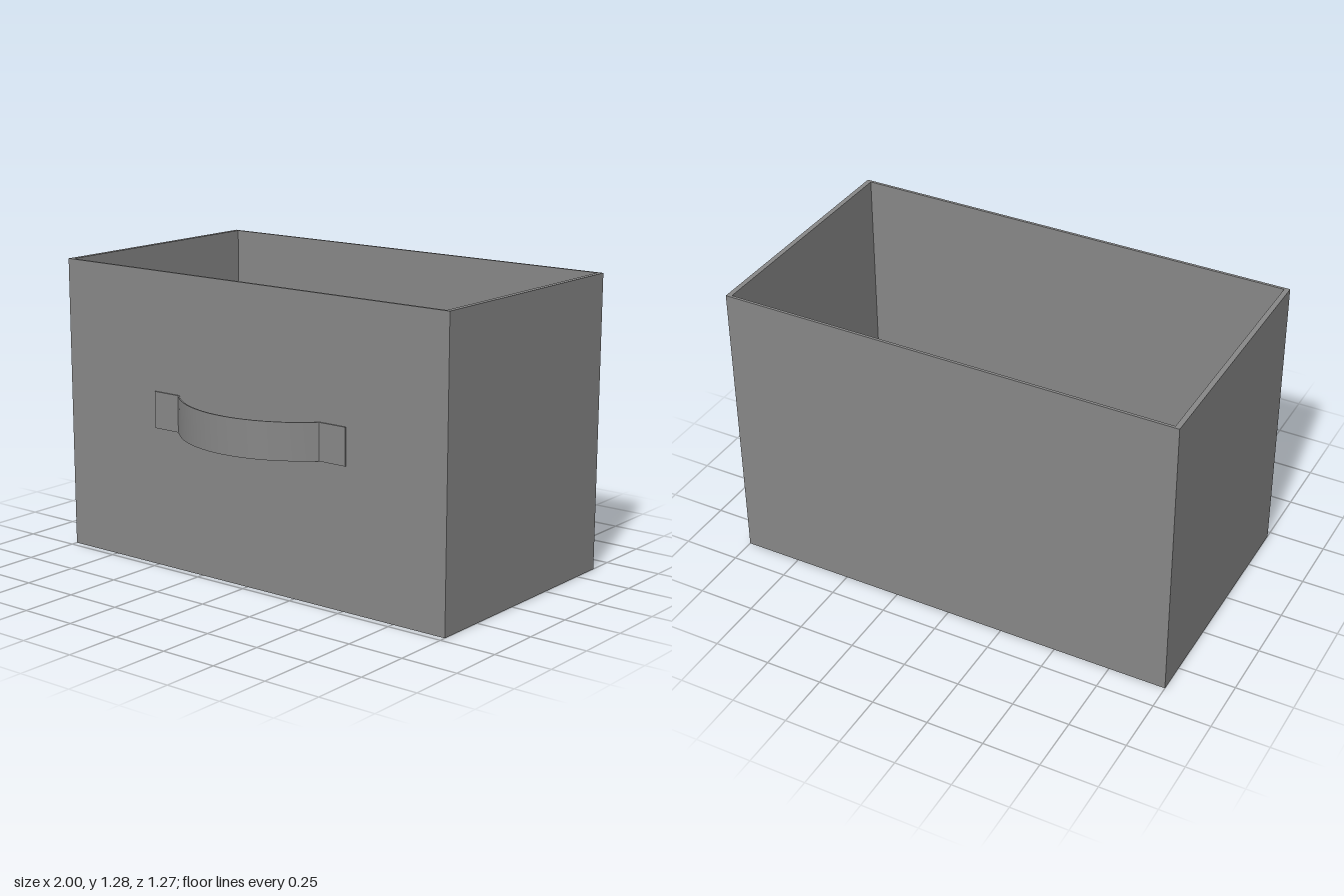
import * as THREE from 'three';
import { toCreasedNormals } from 'three/addons/utils/BufferGeometryUtils.js';

const FRONT = 0.47, BACK = -0.635, HEIGHT = 1.28;
const WALL_X = 0.022, WALL_Z = 0.012, FLOOR = 0.02;

const rect = (x0, z0, x1, z1) =>
  [[x0, z0], [x1, z0], [x1, z1], [x0, z1]].map(([x, z]) => new THREE.Vector2(x, z));

// Extrudes an (x, z) outline vertically between two heights
function extrudeUp(shape, y0, y1) {
  const geometry = new THREE.ExtrudeGeometry(shape, { depth: y1 - y0, bevelEnabled: false });
  return geometry.rotateX(Math.PI / 2).translate(0, y1, 0);
}

// Thin strap outline: flat pad, circular bow, flat pad
function strapShape() {
  const cx = 0.0075, halfBow = 0.3725, halfLength = 0.5075, thick = 0.006, rise = 0.159;
  const radius = (halfBow ** 2 + rise ** 2) / (2 * rise);
  const sweep = Math.asin(halfBow / radius);
  const side = (offset) => {
    const z = FRONT + offset, r = radius + offset, points = [];
    points.push(new THREE.Vector2(cx - halfLength, z));
    for (let i = 0; i <= 24; i++) {
      const a = sweep * (i / 12 - 1);
      points.push(new THREE.Vector2(
        cx + r * Math.sin(a),
        Math.max(z, FRONT + rise - radius + r * Math.cos(a))));
    }
    points.push(new THREE.Vector2(cx + halfLength, z));
    return points;
  };
  return new THREE.Shape([...side(0), ...side(thick).reverse()]);
}

export function createModel() {
  const model = new THREE.Group();
  model.name = 'storageBin';
  const material = new THREE.MeshStandardMaterial({ color: 0x878787 });
  const add = (name, geometry) => {
    const mesh = new THREE.Mesh(geometry, material);
    mesh.name = name;
    model.add(mesh);
    return mesh;
  };

  // Four thin walls as one open frame
  const frame = new THREE.Shape(rect(-1, BACK, 1, FRONT));
  frame.holes.push(new THREE.Path(rect(-1 + WALL_X, BACK + WALL_Z, 1 - WALL_X, FRONT - WALL_Z)));
  add('walls', extrudeUp(frame, 0, HEIGHT));

  // Bottom panel fitted inside the walls
  const floor = new THREE.BoxGeometry(2 - 2 * WALL_X, FLOOR, FRONT - BACK - 2 * WALL_Z);
  add('floor', floor).position.set(0, FLOOR / 2, (FRONT + BACK) / 2);

  // Bowed pull strap on the front
  add('pullHandle', toCreasedNormals(extrudeUp(strapShape(), 0.605, 0.764), 0.4));

  return model;
}
